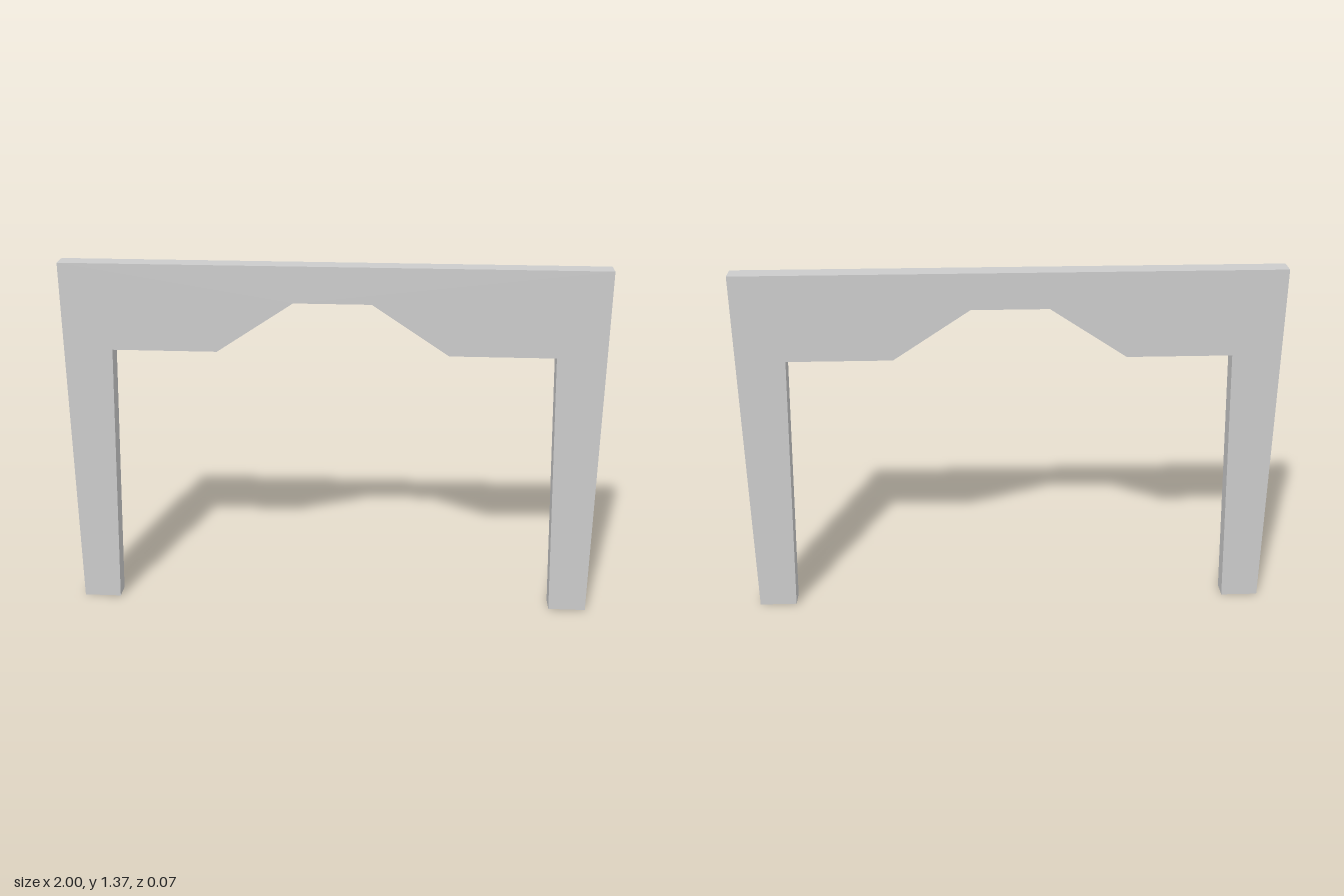
import * as THREE from 'three';

const DEPTH = 0.07;

export function createModel() {
  const group = new THREE.Group();
  group.name = 'portalFrame';

  // Right half of the outline, from the top corner down the leg and up to the raised middle
  const half = [
    [1, 1.372], [1, 0], [0.857, 0], [0.818, 1.045], [0.428, 1.045], [0.143, 1.235],
  ];
  const mirrored = half.map(([x, y]) => [-x, y]).reverse();
  const outline = [...half, ...mirrored].map(([x, y]) => new THREE.Vector2(x, y));

  // Flat frame: two tapered legs joined by a beam with a notched underside
  const geometry = new THREE.ExtrudeGeometry(new THREE.Shape(outline), {
    depth: DEPTH,
    bevelEnabled: false,
  });
  geometry.translate(0, 0, -DEPTH / 2);

  const frame = new THREE.Mesh(
    geometry,
    new THREE.MeshStandardMaterial({ color: 0xcccccc, flatShading: true }),
  );
  frame.name = 'frame';
  group.add(frame);
  return group;
}
